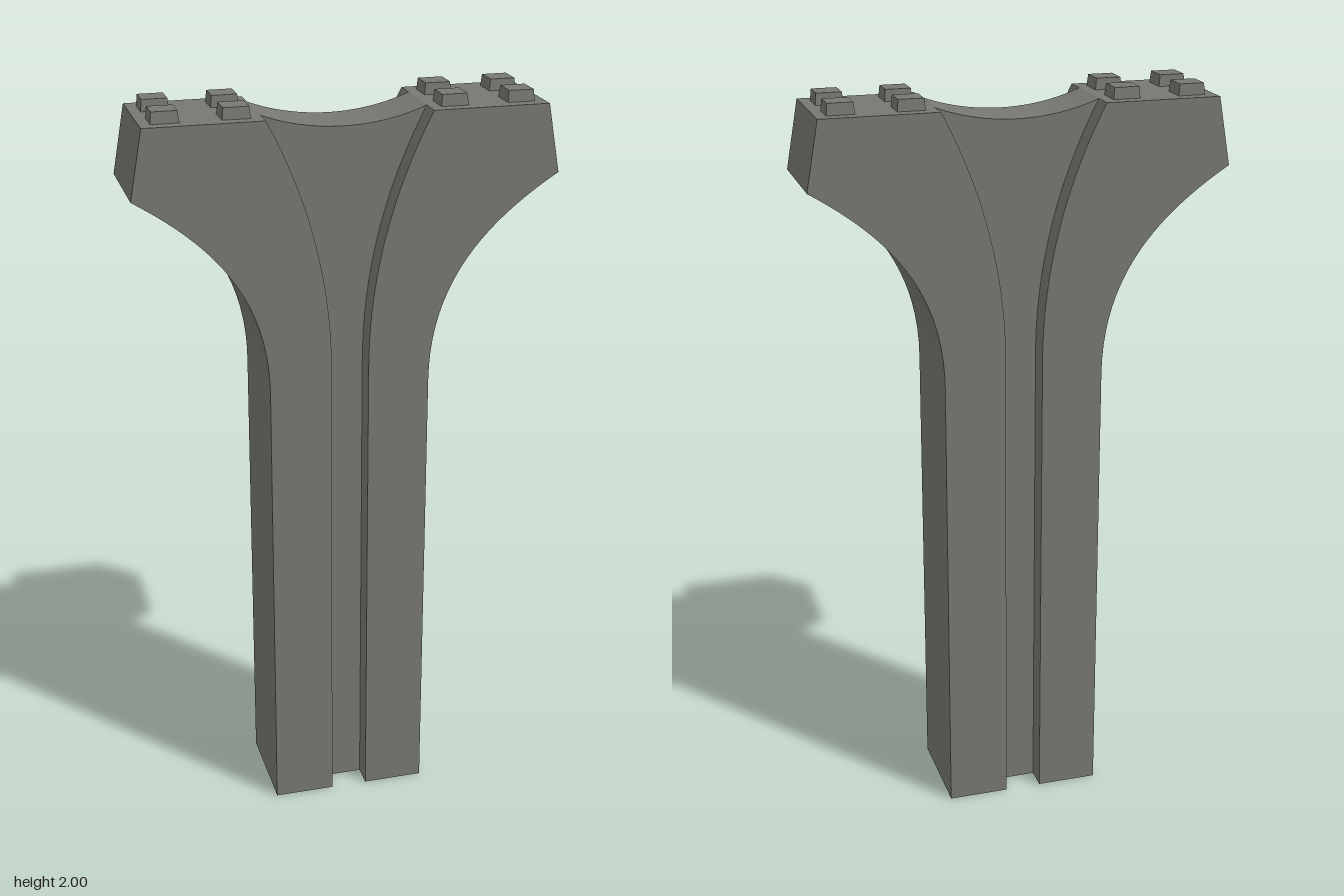
import * as THREE from 'three';
import { toCreasedNormals } from 'three/addons/utils/BufferGeometryUtils.js';

const HALF = 0.215;   // half width of the column
const SLOT = 0.05;    // half width of the groove
const TOP = 1.97;

// Extrude a front-facing outline, centred on z = 0
function slab(shape, depth) {
  const geo = new THREE.ExtrudeGeometry(shape, { depth, bevelEnabled: false, curveSegments: 20 });
  geo.translate(0, 0, -depth / 2);
  return toCreasedNormals(geo, 0.4);
}

// One half of the column, flaring out to a bracket at the top
function armShape(s) {
  const p = new THREE.Shape();
  p.moveTo(s * SLOT, 0);
  p.lineTo(s * HALF, 0);
  p.lineTo(s * HALF, 1.25);
  p.bezierCurveTo(s * HALF, 1.52, s * 0.36, 1.67, s * 0.555, 1.79);
  p.lineTo(s * 0.522, TOP);
  p.lineTo(s * HALF, TOP);
  p.bezierCurveTo(s * 0.11, 1.77, s * SLOT, 1.55, s * SLOT, 1.3);
  p.lineTo(s * SLOT, 0);
  return p;
}

// Recessed web filling the gap between the arms, with a dished top
function webShape() {
  const p = new THREE.Shape();
  p.moveTo(-SLOT, 0);
  p.lineTo(SLOT, 0);
  p.lineTo(SLOT, 1.3);
  p.bezierCurveTo(SLOT, 1.55, 0.11, 1.77, HALF, TOP);
  p.bezierCurveTo(0.08, 1.917, -0.08, 1.917, -HALF, TOP);
  p.bezierCurveTo(-0.11, 1.77, -SLOT, 1.55, -SLOT, 1.3);
  p.lineTo(-SLOT, 0);
  return p;
}

// Square bearing pad, slightly narrower at the top
function padGeometry() {
  const geo = new THREE.CylinderGeometry(0.033 * Math.SQRT2, 0.036 * Math.SQRT2, 0.03, 4).toNonIndexed();
  geo.rotateY(Math.PI / 4);
  geo.computeVertexNormals();
  return geo;
}

export function createModel() {
  const group = new THREE.Group();
  group.name = 'bridgePier';
  const concrete = new THREE.MeshStandardMaterial({ color: 0x777872 });
  concrete.name = 'concrete grey';

  const add = (name, geo) => {
    const mesh = new THREE.Mesh(geo, concrete);
    mesh.name = name;
    group.add(mesh);
    return mesh;
  };

  add('web', slab(webShape(), 0.156));

  const pad = padGeometry();
  for (const s of [-1, 1]) {
    const side = s > 0 ? 'left' : 'right';
    add(side + 'Arm', slab(armShape(s), 0.28));
    for (const x of [0.281, 0.458]) {
      for (const z of [-0.07, 0.07]) {
        add(side + 'BearingPad', pad).position.set(s * x, TOP + 0.015, z);
      }
    }
  }
  return group;
}
